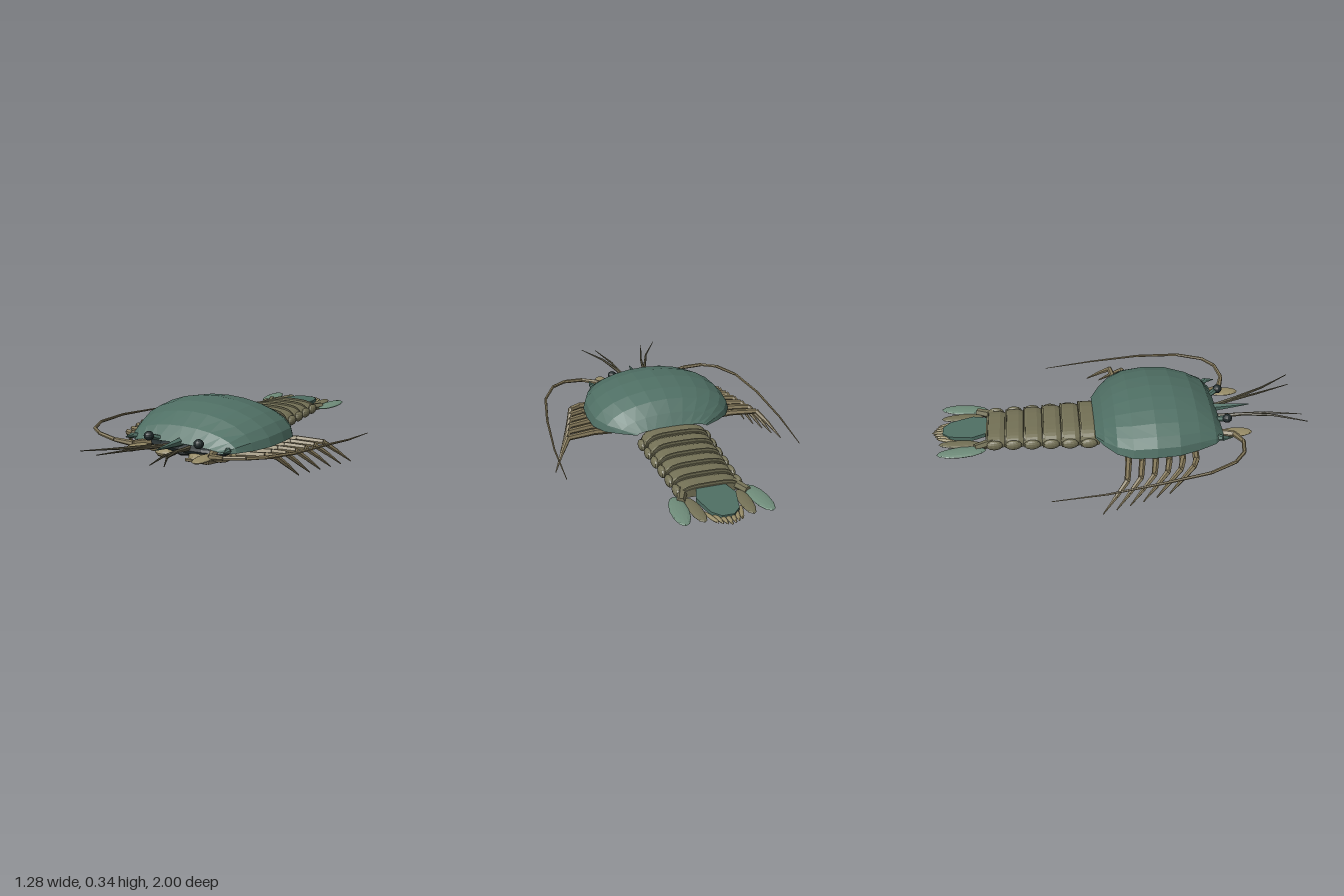
import * as THREE from 'three';

const mat = (color, side = THREE.FrontSide) =>
  new THREE.MeshStandardMaterial({ color, flatShading: true, side });

const shellMat = mat(0x4f6f64, THREE.DoubleSide);
const tailMat = mat(0x6f8c7a);
const bandMat = mat(0x747156);
const limbMat = mat(0x85795a);
const paleMat = mat(0x958a66);
const antennaMat = mat(0x5f5a45);
const darkMat = mat(0x1e2829);

// Loft of arched sections [z, halfWidth, baseY, topY], listed front to back
function loft(sections, n, power, closed) {
  const pos = [], idx = [], row = n + 1;
  for (const [z, w, base, top] of sections) {
    for (let i = 0; i <= n; i++) {
      const a = Math.PI * i / n, c = Math.cos(a), s = Math.max(0, Math.sin(a));
      pos.push(w * Math.sign(c) * Math.abs(c) ** power, base + (top - base) * s ** power, z);
    }
  }
  const last = (sections.length - 1) * row;
  for (let j = 0; j < sections.length - 1; j++) {
    for (let i = 0; i < (closed ? row : n); i++) {
      const a = j * row + i, b = j * row + (i + 1) % row;
      idx.push(a, a + row, b, b, a + row, b + row);
    }
  }
  if (closed) {
    for (let i = 1; i < n; i++) {
      idx.push(0, i, i + 1, last, last + i + 1, last + i);
    }
  }
  const g = new THREE.BufferGeometry();
  g.setAttribute('position', new THREE.Float32BufferAttribute(pos, 3));
  g.setIndex(idx);
  g.computeVertexNormals();
  return g;
}

export function createModel() {
  const model = new THREE.Group();

  const add = (name, geometry, material, parent = model) => {
    const m = new THREE.Mesh(geometry, material);
    m.name = name;
    parent.add(m);
    return m;
  };

  const blob = (name, p, r, material, turn = 0, parent = model) => {
    const m = add(name, new THREE.SphereGeometry(1, 12, 8), material, parent);
    m.position.set(...p);
    m.scale.set(...r);
    m.rotation.y = turn;
    return m;
  };

  // Jointed tapering limb: one cylinder per stretch between points
  const limb = (name, points, radii, material) => {
    const group = new THREE.Group();
    group.name = name;
    for (let i = 0; i < points.length - 1; i++) {
      const a = new THREE.Vector3(...points[i]), b = new THREE.Vector3(...points[i + 1]);
      const d = b.clone().sub(a);
      const m = add(name + 'Segment', new THREE.CylinderGeometry(radii[i + 1], radii[i], d.length(), 6), material, group);
      m.position.copy(a).addScaledVector(d, 0.5);
      m.quaternion.setFromUnitVectors(new THREE.Vector3(0, 1, 0), d.normalize());
    }
    model.add(group);
  };

  // Domed carapace, open underneath
  add('carapace', loft([
    [0.55, 0.25, 0.155, 0.175], [0.50, 0.31, 0.155, 0.25], [0.41, 0.35, 0.15, 0.305],
    [0.30, 0.39, 0.15, 0.333], [0.18, 0.40, 0.15, 0.34], [0.06, 0.39, 0.145, 0.322],
    [-0.02, 0.345, 0.145, 0.29], [-0.08, 0.275, 0.15, 0.235], [-0.125, 0.195, 0.15, 0.175],
  ], 12, 1, false), shellMat);
  blob('thorax', [0, 0.12, 0.2], [0.17, 0.04, 0.35], darkMat);
  blob('mouth', [0, 0.14, 0.48], [0.26, 0.03, 0.06], darkMat);
  limb('rostrum', [[0, 0.175, 0.52], [0, 0.185, 0.735]], [0.025, 0.002], shellMat);

  // Abdomen: six overlapping bands with rounded side plates
  for (let i = 0; i < 6; i++) {
    const z = -0.11 - i * 0.1, w = 0.185 - i * 0.005, top = 0.182 - i * 0.007;
    add('abdomenBand', loft([
      [z + 0.01, w - 0.015, 0.09, top - 0.014], [z - 0.02, w - 0.003, 0.087, top - 0.004],
      [z - 0.075, w - 0.003, 0.087, top - 0.004], [z - 0.095, w - 0.015, 0.09, top - 0.012],
    ], 14, 0.6, true), bandMat);
    add('abdomenRidge', loft([
      [z - 0.083, w - 0.008, 0.087, top + 0.003], [z - 0.092, w - 0.008, 0.087, top + 0.003],
    ], 14, 0.6, true), bandMat);
    for (const s of [1, -1]) {
      blob('sidePlate', [s * (w - 0.003), 0.108, z - 0.048], [0.02, 0.028, 0.045], bandMat);
    }
  }

  // Tail plate
  const outline = [[-0.07, 0.69], [-0.1, 0.78], [-0.07, 0.9], [-0.03, 0.94]];
  const plate = new THREE.Shape([...outline, ...outline.map(([x, z]) => [-x, z]).reverse()]
    .map(([x, z]) => new THREE.Vector2(x, z)));
  const telson = add('tailPlate', new THREE.ExtrudeGeometry(plate, { depth: 0.02, bevelEnabled: false }), shellMat);
  telson.rotation.x = -Math.PI / 2 - 0.08;
  telson.position.set(0, 0.168, 0);

  // Fringe along the tail plate's end
  for (let i = -3; i <= 3; i++) {
    blob('tailFringe', [i * 0.025, 0.097, -0.94 + Math.abs(i) * 0.009],
      [0.011, 0.009, 0.06], paleMat, i * 0.1);
  }

  // Six walking legs a side, and all other paired parts
  for (const s of [1, -1]) {
    for (let i = 0; i < 6; i++) {
      const z = 0.03 + i * 0.07, knee = 0.54 - i * 0.018, tip = 0.64 - i * 0.026;
      limb('walkingLeg', [
        [s * 0.07, 0.1, z + 0.02], [s * 0.24, 0.115, z + 0.015], [s * 0.4, 0.128, z],
        [s * knee, 0.125, z - 0.02], [s * (knee + tip) / 2, 0.07, z - 0.08], [s * tip, 0.004, z - 0.15],
      ], [0.022, 0.018, 0.017, 0.015, 0.011, 0.003], limbMat);
      blob('legBase', [s * 0.1, 0.1, z + 0.02], [0.06, 0.025, 0.028], limbMat);
      blob('legJoint', [s * 0.24, 0.115, z + 0.015], [0.022, 0.021, 0.021], paleMat);
    }

    // Mouth limbs
    blob('mouthLimb', [s * 0.1, 0.107, 0.5], [0.06, 0.027, 0.06], paleMat, s * 0.3);
    blob('outerMouthLimb', [s * 0.19, 0.108, 0.46], [0.06, 0.025, 0.045], limbMat);
    limb('feeler', [[s * 0.2, 0.1, 0.42], [s * 0.14, 0.09, 0.5], [s * 0.05, 0.1, 0.56]],
      [0.02, 0.02, 0.008], limbMat);

    // Eyes on stalks
    limb('eyeStalk', [[s * 0.11, 0.175, 0.52], [s * 0.145, 0.198, 0.58]], [0.014, 0.016], shellMat);
    blob('eye', [s * 0.147, 0.2, 0.585], [0.026, 0.024, 0.026], darkMat);

    // Brow spines on the shell corners
    limb('browSpine', [[s * 0.265, 0.165, 0.51], [s * 0.285, 0.172, 0.54], [s * 0.287, 0.175, 0.59]],
      [0.018, 0.015, 0.002], shellMat);

    // Short forked antennae
    limb('innerAntenna', [[s * 0.05, 0.15, 0.52], [s * 0.07, 0.17, 0.65], [s * 0.095, 0.19, 0.8], [s * 0.15, 0.205, 0.99]],
      [0.013, 0.009, 0.006, 0.002], antennaMat);
    limb('innerAntenna', [[s * 0.05, 0.15, 0.54], [s * 0.085, 0.18, 0.69], [s * 0.14, 0.2, 0.84], [s * 0.235, 0.215, 1.0]],
      [0.013, 0.009, 0.006, 0.002], antennaMat);

    // Paddle and long sweeping antenna
    blob('antennaPaddle', [s * 0.2, 0.145, 0.625], [0.04, 0.012, 0.088], paleMat);
    limb('longAntenna', [
      [s * 0.19, 0.145, 0.52], [s * 0.23, 0.155, 0.61], [s * 0.32, 0.17, 0.64], [s * 0.43, 0.182, 0.62],
      [s * 0.51, 0.184, 0.56], [s * 0.58, 0.178, 0.42], [s * 0.618, 0.16, 0.18],
      [s * 0.636, 0.125, -0.1], [s * 0.63, 0.095, -0.37],
    ], [0.022, 0.016, 0.011, 0.01, 0.009, 0.008, 0.007, 0.005, 0.002], limbMat);

    // Tail fan
    limb('fanBase', [[s * 0.13, 0.11, -0.67], [s * 0.17, 0.11, -0.76]], [0.025, 0.02], bandMat);
    blob('outerFan', [s * 0.2, 0.105, -0.83], [0.046, 0.012, 0.13], tailMat, s * -0.1);
    blob('innerFan', [s * 0.125, 0.103, -0.84], [0.034, 0.011, 0.115], bandMat, s * 0.05);
  }
  return model;
}
